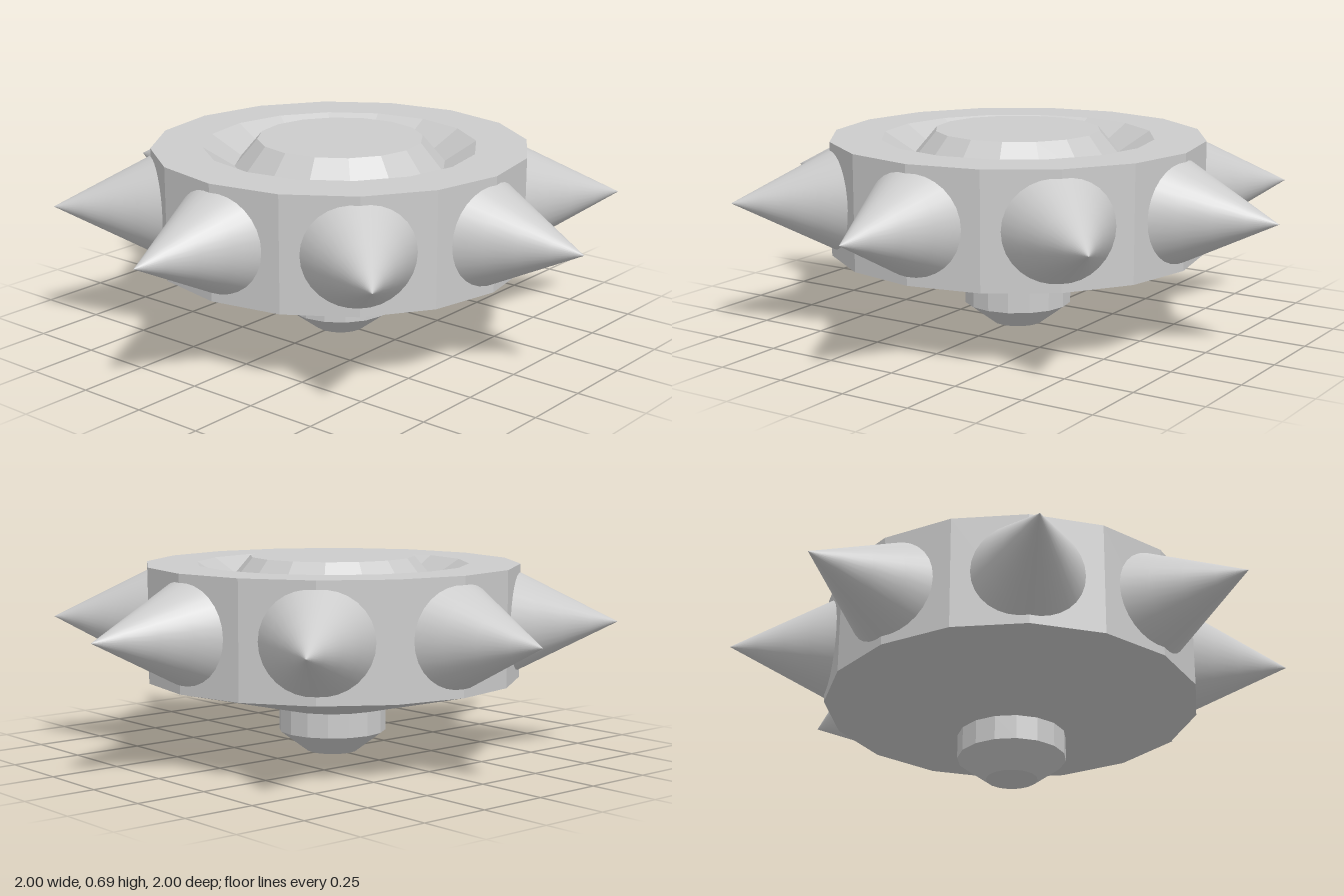
import * as THREE from 'three';

const flat = new THREE.MeshStandardMaterial({ color: 0xcccccc, flatShading: true });
const smooth = new THREE.MeshStandardMaterial({ color: 0xcccccc });
const AXIS_Y = 0.47;

// Faceted 16-sided turned part; profile is [radius, y] from bottom to top
function turned(name, profile) {
  const points = profile.map(([r, y]) => new THREE.Vector2(r, y));
  const mesh = new THREE.Mesh(new THREE.LatheGeometry(points, 16), flat);
  mesh.name = name;
  return mesh;
}

export function createModel() {
  const group = new THREE.Group();
  group.name = 'spikedTop';

  // Stepped tip the toy stands on
  group.add(turned('tip', [[0, 0], [0.09, 0], [0.19, 0.075], [0.19, 0.16]]));

  // Shallow conical underside, drum wall, flat rim and sloped groove
  group.add(turned('body', [[0.19, 0.16], [0.66, 0.27], [0.66, 0.67], [0.48, 0.67], [0.37, 0.6]]));

  // Raised plug in the middle of the groove
  group.add(turned('centrePlug', [[0.37, 0.6], [0.29, 0.695], [0, 0.695]]));

  // Eight smooth spikes around the wall, bases sunk into the drum
  const base = 0.61, length = 1 - base;
  const spikeGeometry = new THREE.ConeGeometry(length * 0.5, length, 32, 4);
  spikeGeometry.rotateX(Math.PI / 2).translate(0, AXIS_Y, base + length / 2);
  for (let i = 0; i < 8; i++) {
    const spike = new THREE.Mesh(spikeGeometry, smooth);
    spike.name = `spike${i + 1}`;
    spike.rotation.y = (i * Math.PI) / 4;
    group.add(spike);
  }
  return group;
}
